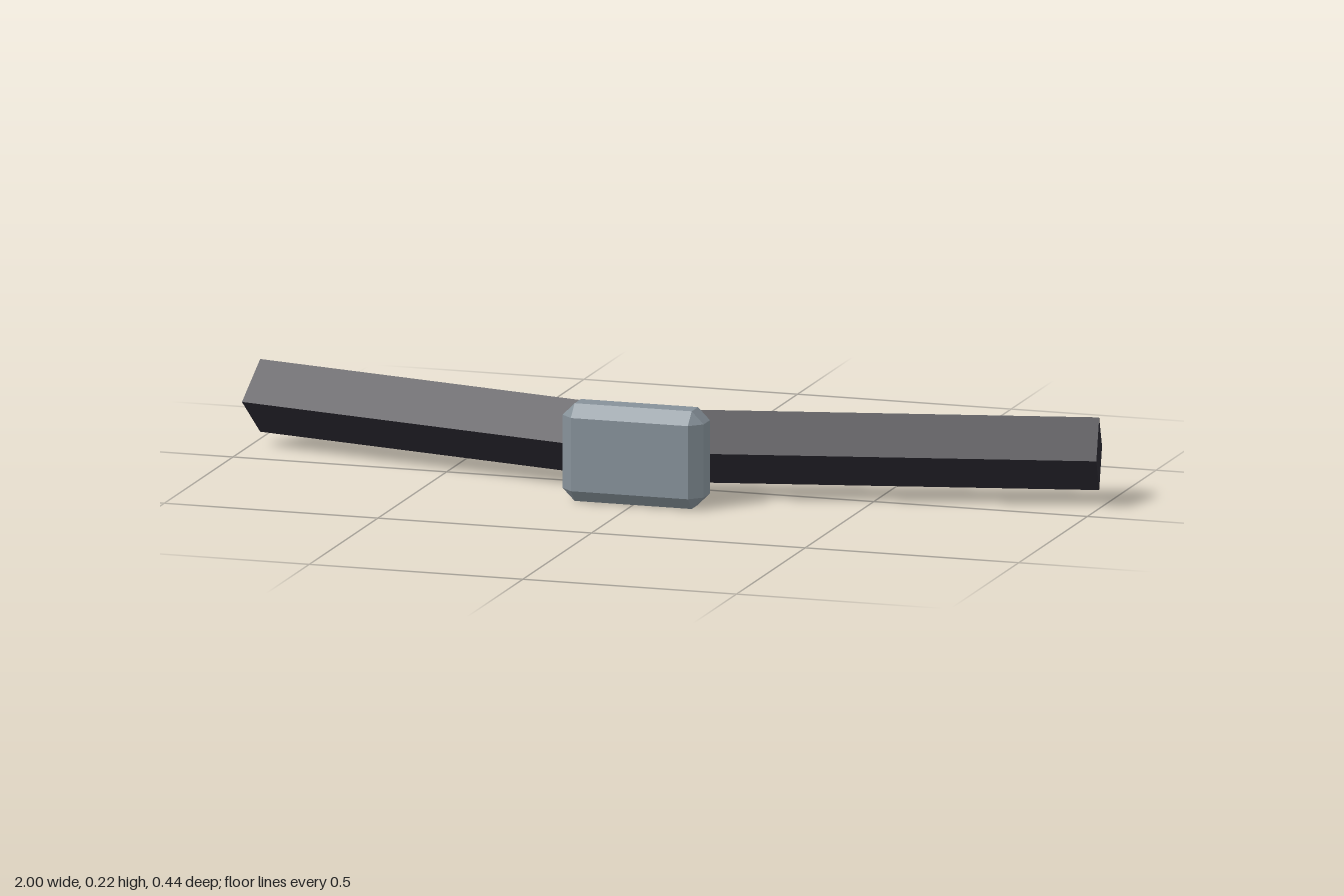
import * as THREE from 'three';
import { ConvexGeometry } from 'three/addons/geometries/ConvexGeometry.js';

const darkFabric = new THREE.MeshStandardMaterial({ color: 0x2b2a31 });
const greyMetal = new THREE.MeshStandardMaterial({ color: 0x869199 });

// Diamond-section bar swept back on both sides of a mitred centre
function bandGeometry() {
  let g = new THREE.CylinderGeometry(1, 1, 2, 4, 2);
  g.rotateZ(Math.PI / 2);
  const p = g.attributes.position;
  for (let i = 0; i < p.count; i++) {
    const side = Math.round(p.getX(i)), y = p.getY(i), z = p.getZ(i);
    const x = side * (0.982 + 0.018 * z);
    p.setXYZ(i, x, 0.112 + 0.083 * y, 0.081 * (1 + z) - 0.227 * Math.abs(x));
  }
  g = g.toNonIndexed();
  g.computeVertexNormals();
  return g;
}

// Box with every edge and corner cut off
function chamferedBox(w, h, d, c) {
  const points = [];
  for (const sx of [-1, 1]) for (const sy of [-1, 1]) for (const sz of [-1, 1]) {
    for (let face = 0; face < 3; face++) {
      const inset = [c, c, c];
      inset[face] = 0;
      points.push(new THREE.Vector3(
        sx * (w / 2 - inset[0]), sy * (h / 2 - inset[1]), sz * (d / 2 - inset[2])));
    }
  }
  return new ConvexGeometry(points);
}

export function createModel() {
  const model = new THREE.Group();
  model.name = 'bentBandWithPlate';

  const band = new THREE.Mesh(bandGeometry(), darkFabric);
  band.name = 'band';

  const plate = new THREE.Mesh(chamferedBox(0.33, 0.223, 0.102, 0.028), greyMetal);
  plate.name = 'frontPlate';
  plate.position.set(0, 0.1115, 0.174);

  model.add(band, plate);
  return model;
}
